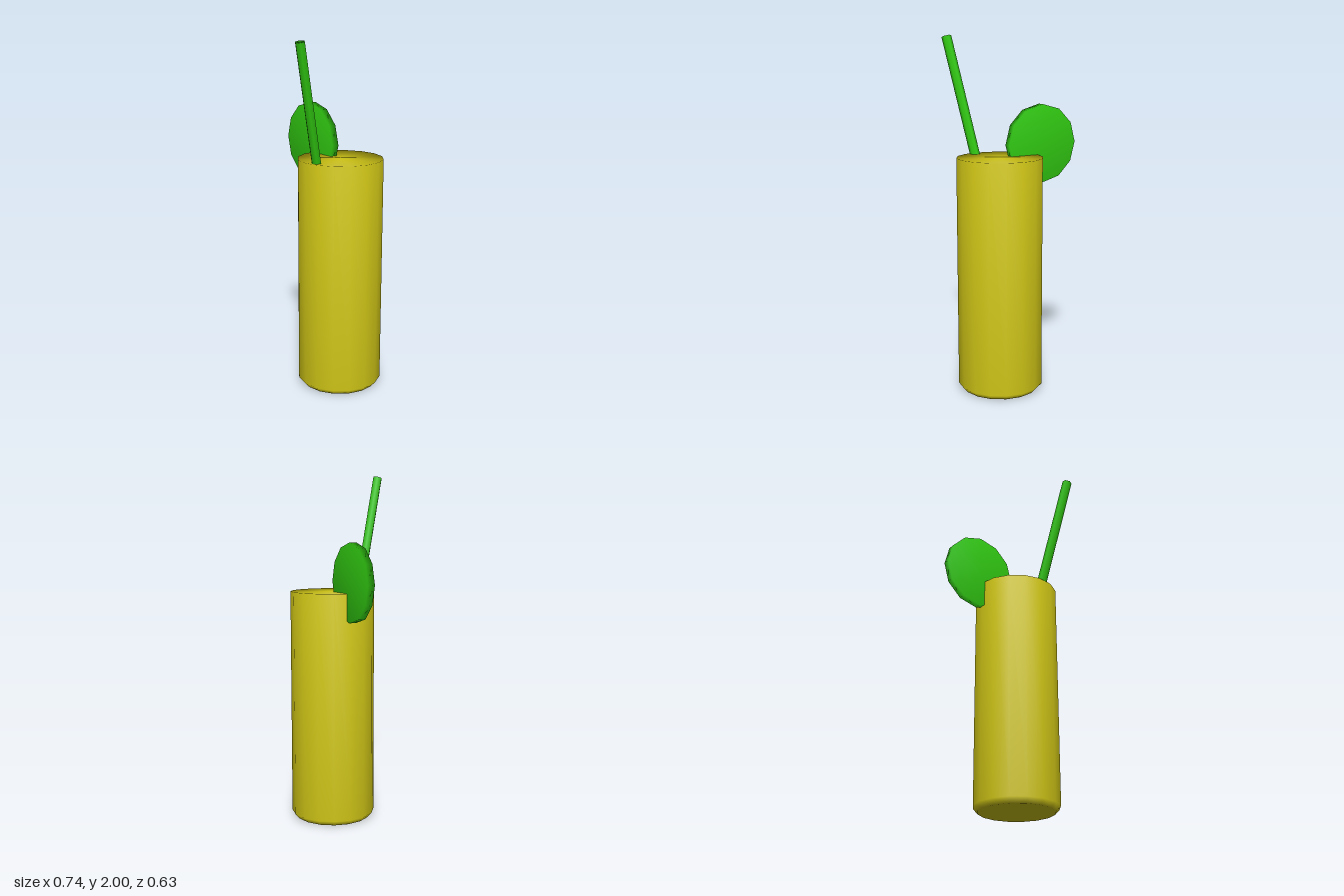
import * as THREE from 'three';

// Smooth-shaded revolved solid from [radius, height] pairs, listed bottom to top
function turned(name, profile, sides, color) {
  const points = profile.map(([r, y]) => new THREE.Vector2(r, y));
  const mesh = new THREE.Mesh(
    new THREE.LatheGeometry(points, sides),
    new THREE.MeshStandardMaterial({ color })
  );
  mesh.name = name;
  return mesh;
}

export function createModel() {
  const group = new THREE.Group();
  group.name = 'drink';
  const yellow = 0xcfc516;
  const green = 0x32cd12;

  // Filled glass with a small bevel at the base
  const glass = turned('glass', [[0, 0], [0.215, 0], [0.242, 0.03], [0.242, 1.335], [0, 1.335]], 16, yellow);
  glass.position.set(0.124, 0, -0.075);
  group.add(glass);

  // Fruit slice standing upright on the rim
  const slice = turned('fruitSlice', [[0, -0.021], [0.222, -0.021], [0.222, 0.021], [0, 0.021]], 12, green);
  slice.rotation.x = Math.PI / 2;
  slice.position.set(-0.147, 1.396, -0.076);
  group.add(slice);

  // Hollow six-sided straw leaning forward and to the left
  const top = new THREE.Vector3(0.256, 1.993, 0.287);
  const entry = new THREE.Vector3(0.17, 1.335, 0.123);
  const axis = top.clone().sub(entry).normalize();
  const length = top.distanceTo(entry);
  const straw = turned('straw', [
    [0, -0.04], [0.028, -0.04], [0.028, length], [0.014, length], [0.014, 0], [0, 0],
  ], 6, green);
  straw.position.copy(entry);
  straw.quaternion.setFromUnitVectors(new THREE.Vector3(0, 1, 0), axis);
  group.add(straw);

  return group;
}
